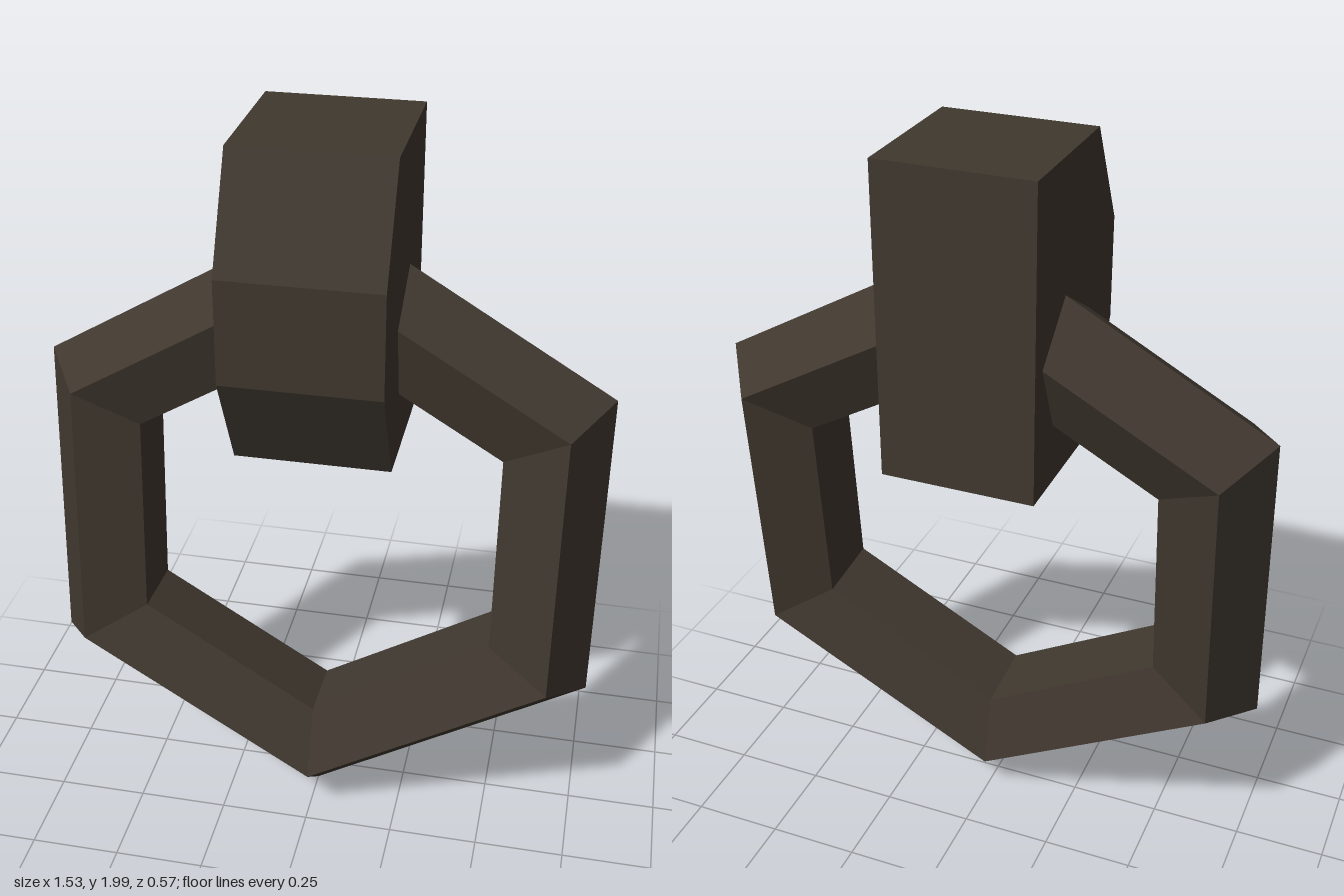
import * as THREE from 'three';

export function createModel() {
  const model = new THREE.Group();
  const iron = new THREE.MeshStandardMaterial({ color: 0x40382f, flatShading: true });
  iron.name = 'dark iron';

  // Mounting block: side profile (z, y) with a bevelled front, extruded across x
  const width = 0.42;
  const profile = new THREE.Shape([
    [-0.282, 1.155], [0.14, 1.155], [0.284, 1.437], [0.284, 1.719], [0.14, 2], [-0.282, 2],
  ].map(([z, y]) => new THREE.Vector2(z, y)));
  const blockGeometry = new THREE.ExtrudeGeometry(profile, { depth: width, bevelEnabled: false });
  blockGeometry.translate(0, 0, -width / 2).rotateY(-Math.PI / 2);
  const block = new THREE.Mesh(blockGeometry, iron);
  block.name = 'mountingBlock';
  model.add(block);

  // Six-sided ring with a five-sided section, point down and leaning back
  const ring = new THREE.Mesh(new THREE.TorusGeometry(0.708, 0.175, 5, 6), iron);
  ring.name = 'ring';
  ring.rotation.set(-0.09, 0, Math.PI / 6);
  ring.position.set(0, 0.885, -0.01);
  model.add(ring);

  return model;
}
